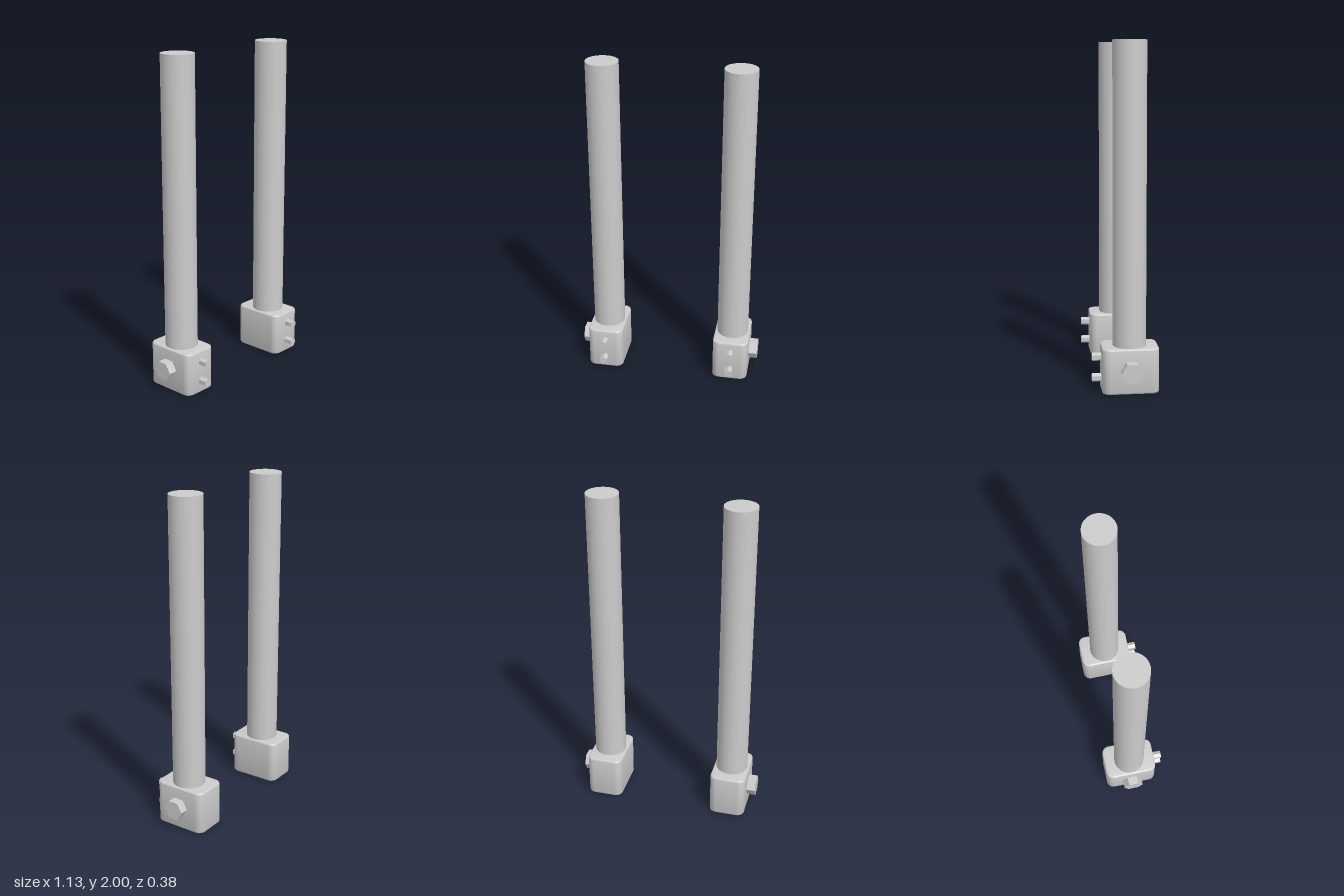
import * as THREE from 'three';
import { toCreasedNormals } from 'three/addons/utils/BufferGeometryUtils.js';

const grey = new THREE.MeshStandardMaterial({ color: 0xcccccc });
const faceted = new THREE.MeshStandardMaterial({ color: 0xcccccc, flatShading: true });

const CENTRE_Z = -0.027, BLOCK_W = 0.22, BLOCK_D = 0.328, BLOCK_H = 0.265, BEVEL = 0.01;

function add(parent, name, geometry, material, x, y, z) {
  const mesh = new THREE.Mesh(geometry, material);
  mesh.name = name;
  mesh.position.set(x, y, z);
  parent.add(mesh);
}

// Upright block with rounded corners and softened top and bottom rims
function blockGeometry() {
  const w = BLOCK_W / 2 - BEVEL, d = BLOCK_D / 2 - BEVEL, r = 0.035;
  const s = new THREE.Shape();
  s.moveTo(w, -d + r);
  s.absarc(w - r, d - r, r, 0, Math.PI / 2);
  s.absarc(-w + r, d - r, r, Math.PI / 2, Math.PI);
  s.absarc(-w + r, -d + r, r, Math.PI, Math.PI * 1.5);
  s.absarc(w - r, -d + r, r, Math.PI * 1.5, Math.PI * 2);
  const g = new THREE.ExtrudeGeometry(s, {
    depth: BLOCK_H - 2 * BEVEL, curveSegments: 8,
    bevelSize: BEVEL, bevelThickness: BEVEL, bevelSegments: 3,
  });
  g.rotateX(-Math.PI / 2);
  return toCreasedNormals(g, 0.6);
}

// One post; its side bolt faces outward according to side (+1 or -1)
function createPost(side) {
  const post = new THREE.Group();
  post.name = side > 0 ? 'leftPost' : 'rightPost';

  add(post, 'clampBlock', blockGeometry(), grey, 0, BEVEL, CENTRE_Z);

  const poleLength = 2 - BLOCK_H + 0.02;
  add(post, 'pole', new THREE.CylinderGeometry(0.097, 0.097, poleLength, 64), grey,
    0, 2 - poleLength / 2, CENTRE_Z);

  // Large hexagonal bolt head on the outer side
  const sideBolt = new THREE.CylinderGeometry(0.062, 0.062, 0.07, 6).rotateZ(Math.PI / 2);
  add(post, 'sideBolt', sideBolt, faceted, side * 0.128, 0.138, CENTRE_Z);

  // Two small hexagonal bolts on the front
  for (const y of [0.075, 0.198]) {
    const bolt = new THREE.CylinderGeometry(0.025, 0.025, 0.07, 6).rotateX(Math.PI / 2);
    add(post, 'frontBolt', bolt, faceted, 0, y, 0.155);
  }

  post.position.x = side * 0.4;
  return post;
}

export function createModel() {
  const model = new THREE.Group();
  model.name = 'pairOfPosts';
  for (const side of [1, -1]) model.add(createPost(side));
  return model;
}
